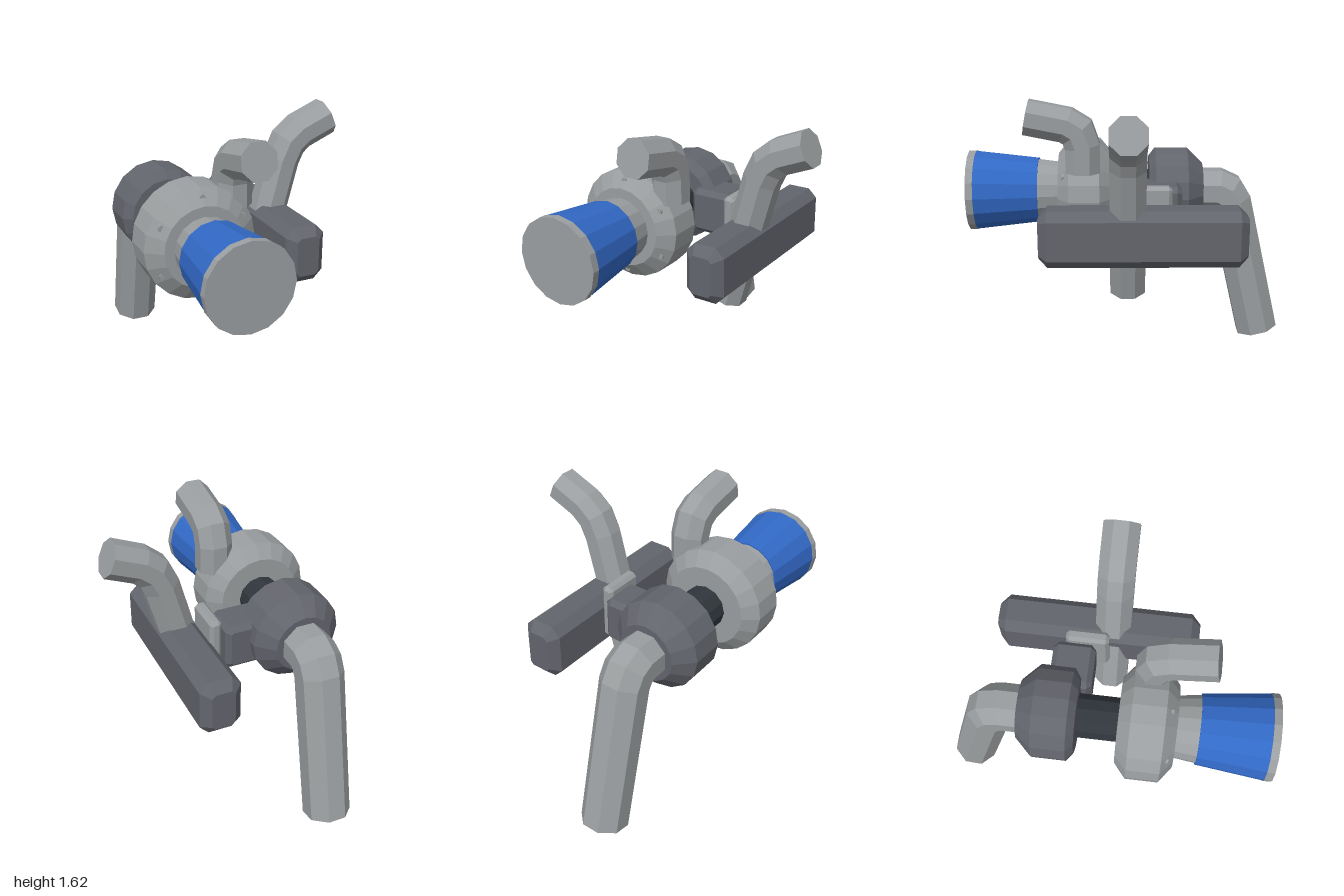
import * as THREE from 'three';
import { ConvexGeometry } from 'three/addons/geometries/ConvexGeometry.js';

const AXIS_X = -0.347, AXIS_Y = 0.99;

function material(name, color) {
  const m = new THREE.MeshStandardMaterial({ color, flatShading: true });
  m.name = name;
  return m;
}

// Closed solid of revolution about z; profile is [radius, z] from back to front
function turned(profile, sides) {
  const first = profile[0], last = profile[profile.length - 1];
  const points = [[0, first[1]], ...profile, [0, last[1]]].map(([r, z]) => new THREE.Vector2(r, z));
  return new THREE.LatheGeometry(points, sides).rotateX(Math.PI / 2).translate(AXIS_X, AXIS_Y, 0);
}

// Eight-sided pipe with mitred bends; side is perpendicular to the plane of the path
function pipe(path, halfWidth, side) {
  const pts = path.map(p => new THREE.Vector3(...p));
  const radius = halfWidth / Math.cos(Math.PI / 8);
  const position = [], index = [], n = pts.length;
  pts.forEach((p, i) => {
    const before = pts[i].clone().sub(pts[Math.max(i - 1, 0)]).normalize();
    const after = pts[Math.min(i + 1, n - 1)].clone().sub(pts[i]).normalize();
    const tangent = before.clone().add(after).normalize();
    const stretch = 1 / Math.max(tangent.dot(before), tangent.dot(after));
    const normal = side.clone().cross(tangent);
    for (let j = 0; j < 8; j++) {
      const a = (j + 0.5) * Math.PI / 4;
      const v = p.clone()
        .addScaledVector(normal, Math.cos(a) * radius * stretch)
        .addScaledVector(side, Math.sin(a) * radius);
      position.push(v.x, v.y, v.z);
    }
  });
  position.push(...pts[0].toArray(), ...pts[n - 1].toArray());
  const start = n * 8, end = start + 1;
  for (let j = 0; j < 8; j++) {
    const k = (j + 1) % 8;
    for (let i = 0; i < n - 1; i++) {
      const a = i * 8 + j, b = i * 8 + k;
      index.push(a, b, a + 8, b, b + 8, a + 8);
    }
    index.push(start, k, j, end, (n - 1) * 8 + j, (n - 1) * 8 + k);
  }
  const g = new THREE.BufferGeometry();
  g.setAttribute('position', new THREE.Float32BufferAttribute(position, 3));
  g.setIndex(index);
  g.computeVertexNormals();
  return g;
}

// Box with all edges chamfered, given by its lower and upper corners
function chamferBox([x0, y0, z0], [x1, y1, z1], c) {
  const hx = (x1 - x0) / 2, hy = (y1 - y0) / 2, hz = (z1 - z0) / 2;
  const points = [];
  for (const sx of [-1, 1]) for (const sy of [-1, 1]) for (const sz of [-1, 1]) {
    const add = (x, y, z) => points.push(new THREE.Vector3(sx * x, sy * y, sz * z));
    add(hx, hy - c, hz - c);
    add(hx - c, hy, hz - c);
    add(hx - c, hy - c * 1.4, hz);
    add(hx - c * 1.4, hy - c, hz);
  }
  return new ConvexGeometry(points).translate((x0 + x1) / 2, (y0 + y1) / 2, (z0 + z1) / 2);
}

export function createModel() {
  const model = new THREE.Group();
  model.name = 'turbineAssembly';
  const steel = material('light steel', 0x9a9ea0);
  const iron = material('dark iron', 0x63656d);
  const shaftMat = material('shaft black', 0x30363c);
  const blue = material('blue hose', 0x3269c6);
  const add = (name, geometry, mat) => {
    const mesh = new THREE.Mesh(geometry, mat);
    mesh.name = name;
    model.add(mesh);
    return mesh;
  };

  // Intake funnel
  add('intakeRim', turned([[0.255, 0.955], [0.255, 1.0]], 16), steel);
  add('intakeHose', turned([[0.207, 0.56], [0.252, 0.955]], 16), blue);
  add('intakeNeck', turned([[0.18, 0.42], [0.198, 0.56]], 16), steel);

  // Housings and the shaft between them
  add('frontHousing', turned([[0.25, 0.10], [0.333, 0.17], [0.333, 0.36], [0.24, 0.43]], 20), steel);
  add('shaft', turned([[0.132, -0.16], [0.132, 0.12]], 12), shaftMat);
  add('rearHousing', turned([[0.175, -0.48], [0.273, -0.38], [0.273, -0.18], [0.22, -0.14]], 16), iron);

  // Bolts around the front chamfer
  for (let i = 0; i < 6; i++) {
    const a = Math.PI / 2 + i * Math.PI / 3;
    const bolt = new THREE.CylinderGeometry(0.018, 0.018, 0.06, 8).rotateX(Math.PI / 2);
    bolt.translate(AXIS_X + Math.cos(a) * 0.28, AXIS_Y + Math.sin(a) * 0.28, 0.371);
    add('housingBolt', bolt, steel);
  }

  // Pipes
  const alongX = new THREE.Vector3(1, 0, 0), alongZ = new THREE.Vector3(0, 0, 1);
  add('exhaustPipe', pipe([
    [AXIS_X, 0.99, -0.44], [AXIS_X, 0.99, -0.58], [AXIS_X, 0.965, -0.633],
    [AXIS_X, 0.905, -0.67], [AXIS_X, 0.03, -0.874],
  ], 0.13, alongX), steel);
  add('outletPipe', pipe([
    [-0.113, 1.16, 0.27], [-0.113, 1.32, 0.27], [-0.113, 1.41, 0.302],
    [-0.113, 1.452, 0.37], [-0.113, 1.5, 0.61],
  ], 0.105, alongX), steel);
  add('coolerPipe', pipe([
    [0.12, 0.485, 0], [0.338, 1.29, 0], [0.385, 1.39, 0],
    [0.46, 1.452, 0], [0.637, 1.525, 0],
  ], 0.105, alongZ), steel);

  // Side manifold with its connector and flange
  add('manifoldBar', chamferBox([0.13, 0.69, -0.70], [0.375, 1.03, 0.52], 0.053), iron);
  add('connectorBlock', chamferBox([-0.21, 0.82, -0.33], [0.067, 1.10, -0.08], 0.03), iron);
  add('flangePlate', chamferBox([0.065, 0.78, -0.265], [0.14, 1.123, -0.01], 0.02), steel);

  return model;
}
